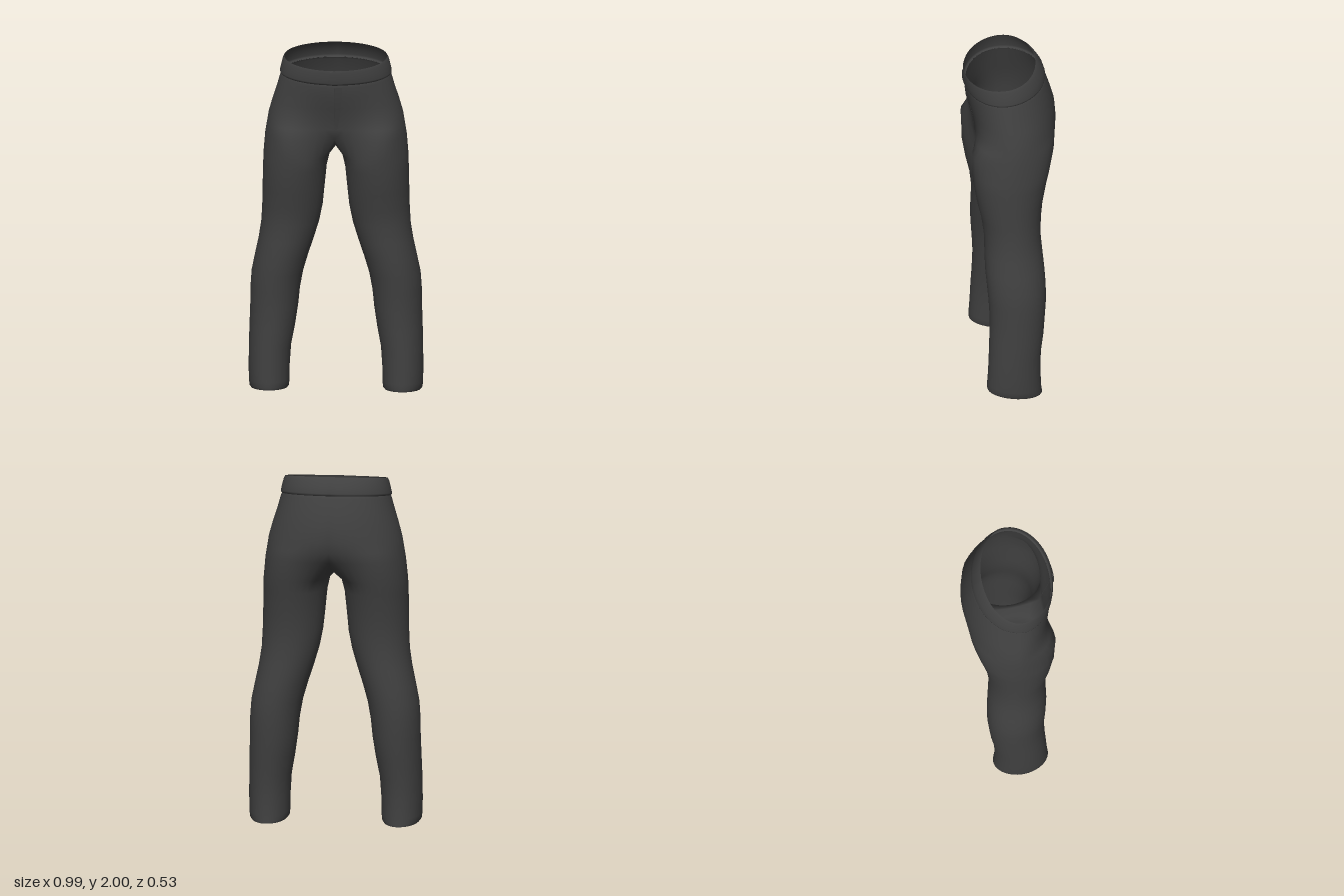
import * as THREE from 'three';
import { mergeVertices } from 'three/addons/utils/BufferGeometryUtils.js';

const OUT = 24, INN = 8, RING = OUT + INN;
const lerp = THREE.MathUtils.lerp;

// Hip sections: [height, tilt, half width, side z, front z, back z, front thigh bulge, seat bulge]
const HIPS = [
  [1.88, 0.1, 0.309, 0.04, 0.247, -0.194, 0, 0],
  [1.865, 0.1, 0.315, 0.04, 0.25, -0.204, 0, 0],
  [1.8, 0.08, 0.333, 0.04, 0.243, -0.227, 0, 0],
  [1.72, 0.04, 0.358, 0.03, 0.226, -0.252, 0.01, 0],
  [1.64, 0, 0.38, 0.02, 0.208, -0.259, 0.025, 0],
  [1.58, 0, 0.39, 0.02, 0.2, -0.248, 0.055, 0.02],
  [1.52, 0, 0.4, 0.02, 0.19, -0.225, 0.095, 0.045],
];

// Waistband sections, same layout
const BAND = [
  [1.979, 0.148, 0.291, 0.04, 0.258, -0.145, 0, 0],
  [1.965, 0.14, 0.299, 0.04, 0.261, -0.163, 0, 0],
  [1.925, 0.12, 0.309, 0.04, 0.261, -0.19, 0, 0],
  [1.893, 0.1, 0.316, 0.04, 0.258, -0.201, 0, 0],
  [1.884, 0.1, 0.315, 0.04, 0.255, -0.2, 0, 0],
  [1.878, 0.1, 0.308, 0.04, 0.246, -0.193, 0, 0],
];

// Leg sections: [height, inner x, outer x, front z, back z]
const LEG = [
  [1.4, 0.035, 0.41, 0.24, -0.197],
  [1.33, 0.052, 0.412, 0.237, -0.18],
  [1.2, 0.065, 0.415, 0.215, -0.155],
  [1.1, 0.075, 0.417, 0.192, -0.145],
  [1.0, 0.095, 0.422, 0.18, -0.14],
  [0.9, 0.125, 0.437, 0.18, -0.147],
  [0.8, 0.158, 0.458, 0.18, -0.155],
  [0.7, 0.187, 0.478, 0.173, -0.16],
  [0.6, 0.205, 0.485, 0.165, -0.16],
  [0.5, 0.215, 0.486, 0.16, -0.153],
  [0.38, 0.233, 0.49, 0.163, -0.143],
  [0.27, 0.254, 0.493, 0.168, -0.127],
  [0.15, 0.262, 0.494, 0.173, -0.124],
  [0.06, 0.263, 0.493, 0.178, -0.128],
  [0.028, 0.266, 0.489, 0.18, -0.133],
  [0.016, 0.275, 0.48, 0.176, -0.133],
];

// Point on a hip or waistband section; angle is 90 degrees at the front centre
function hipPoint([y, tilt, a, zs, zf, zb, gf, gb], angle) {
  const s = Math.sin(angle), b = Math.sin(2 * angle) ** 2;
  const z = s >= 0 ? zs + (zf - zs) * s + gf * b : zs + (zs - zb) * s - gb * b;
  return [a * Math.cos(angle), y - tilt * z, z];
}

const halfRing = (row) =>
  Array.from({ length: OUT + 1 }, (_, i) => hipPoint(row, Math.PI * (0.5 - i / OUT)));

function legRing([y, xi, xo, zf, zb], index) {
  const alpha = THREE.MathUtils.degToRad(145);
  const tilt = index >= LEG.length - 3 ? 0.12 : 0;
  const pts = [];
  for (let j = 0; j < RING; j++) {
    const t = j <= OUT ? lerp(alpha, -alpha, j / OUT)
      : lerp(-alpha, alpha - 2 * Math.PI, (j - OUT) / INN);
    const z = (zf + zb) / 2 + (zf - zb) / 2 * Math.sin(t);
    pts.push([(xi + xo) / 2 + (xo - xi) / 2 * Math.cos(t), y + tilt * z, z]);
  }
  return pts;
}

// Joins rings of points, listed from top to bottom, into one smooth skin
function skin(strips, mirrored) {
  const pos = [], index = [];
  for (const side of mirrored ? [1, -1] : [1]) {
    for (const { rings, closed } of strips) {
      const base = pos.length / 3, n = rings[0].length;
      for (const [x, y, z] of rings.flat()) pos.push(side * x, y, z);
      for (let r = 0; r < rings.length - 1; r++) {
        for (let j = 0; j < (closed ? n : n - 1); j++) {
          const k = (j + 1) % n;
          const a = base + r * n + j, d = base + r * n + k, b = a + n, c = d + n;
          if (side > 0) index.push(a, b, d, b, c, d);
          else index.push(a, d, b, b, d, c);
        }
      }
    }
  }
  let g = new THREE.BufferGeometry();
  g.setAttribute('position', new THREE.Float32BufferAttribute(pos, 3));
  g.setIndex(index);
  g = mergeVertices(g, 1e-4);
  g.computeVertexNormals();
  return g;
}

// Thin flap lying on the front, from left(v) to right(v), raised at its left edge
function flap(rows, left, right, lift) {
  const rings = rows.map((row, r) => {
    const v = r / (rows.length - 1), pts = [];
    for (let i = 0; i <= 6; i++) {
      const x = lerp(left(v), right(v), Math.max(0, i - 1) / 5);
      const p = hipPoint(row, Math.acos(x / row[2]));
      p[2] += i === 0 ? -0.002 : lerp(lift, 0.001, (i - 1) / 5);
      pts.push(p);
    }
    return pts;
  });
  return skin([{ rings, closed: false }], false);
}

export function createModel() {
  const group = new THREE.Group();
  const cloth = new THREE.MeshStandardMaterial({ color: 0x404040, side: THREE.DoubleSide });
  cloth.name = 'charcoal cloth';
  const add = (name, geometry) => {
    const mesh = new THREE.Mesh(geometry, cloth);
    mesh.name = name;
    group.add(mesh);
  };

  // Hips and legs, meeting along the crotch seam
  const hipRings = HIPS.map(halfRing);
  const crotch = [...hipRings[hipRings.length - 1]];
  const front = crotch[0], back = crotch[OUT];
  for (let k = 1; k < INN; k++) {
    const s = k / INN;
    crotch.push([0, front[1] - 0.08 * Math.sin(Math.PI * s) ** 0.8, lerp(back[2], front[2], s)]);
  }
  add('hipsAndLegs', skin([
    { rings: hipRings, closed: false },
    { rings: [crotch, ...LEG.map(legRing)], closed: true },
  ], true));

  // Waistband
  add('waistband', skin([{ rings: BAND.map(halfRing), closed: false }], true));

  // Round-ended tab closing the waistband
  const tabRows = [];
  for (let i = 0; i <= 10; i++) {
    const f = i / 10 * (BAND.length - 1), k = Math.min(Math.floor(f), BAND.length - 2);
    tabRows.push(BAND[k].map((n, c) => lerp(n, BAND[k + 1][c], f - k)));
  }
  add('waistTab', flap(tabRows,
    (v) => -0.032 + 0.025 * (1 - Math.sqrt(Math.max(0, 1 - (2 * v - 1) ** 2))), () => 0.05, 0.006));

  // Fly flap, narrowing towards the crotch
  add('fly', flap(HIPS.slice(1, 6), () => 0, (v) => 0.045 - 0.03 * v * v, 0.005));

  return group;
}
